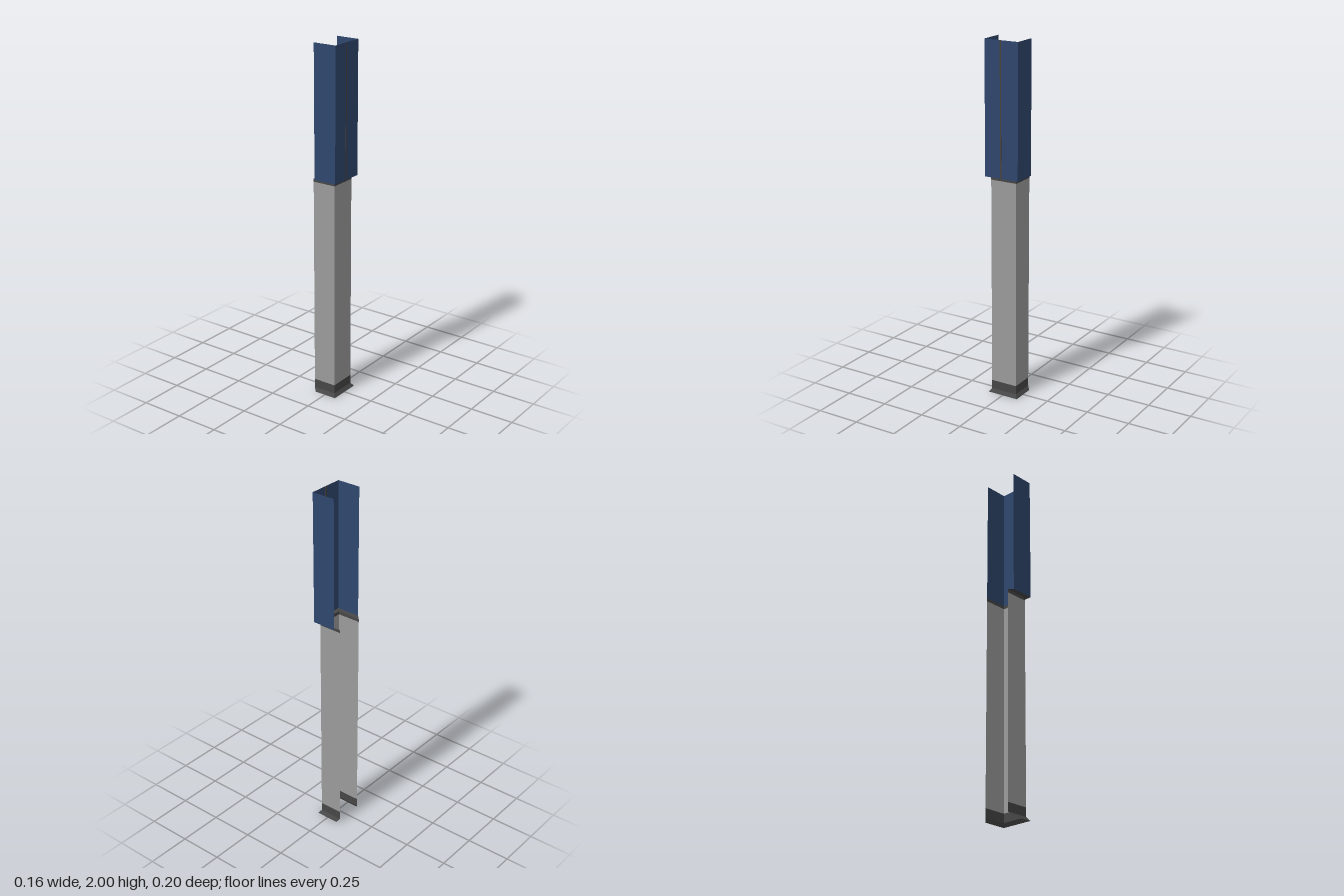
import * as THREE from 'three';

const makeMaterial = (name, color) => {
  const m = new THREE.MeshStandardMaterial({ color, side: THREE.DoubleSide });
  m.name = name;
  return m;
};

// Three-sided channel outline, open towards -x, pushed outward by d
const outline = (y, d) => [
  [-0.08 + d, y, 0.078 + d],
  [0.055 + d, y, 0.078 + d],
  [0.055 + d, y, -0.078 - d],
  [-0.08 + d, y, -0.078 - d],
];

// Thin sheet walls swept through a profile of [height, offset] pairs
function channel(name, profile, material) {
  const positions = [];
  for (let i = 0; i < profile.length - 1; i++) {
    const low = outline(...profile[i]);
    const high = outline(...profile[i + 1]);
    for (let k = 0; k < 3; k++) {
      for (const p of [low[k], low[k + 1], high[k + 1], low[k], high[k + 1], high[k]]) positions.push(...p);
    }
  }
  const geometry = new THREE.BufferGeometry();
  geometry.setAttribute('position', new THREE.Float32BufferAttribute(positions, 3));
  geometry.computeVertexNormals();
  const mesh = new THREE.Mesh(geometry, material);
  mesh.name = name;
  return mesh;
}

export function createModel() {
  const blue = makeMaterial('navy blue', 0x2f466e);
  const grey = makeMaterial('light grey', 0x9b9b9b);
  const dark = makeMaterial('dark grey', 0x464646);
  const brown = makeMaterial('seam brown', 0x4a423a);

  const model = new THREE.Group();
  model.name = 'channelColumn';

  // Flared foot, shaft, stepped collar and wider upper casing
  model.add(
    channel('flaredFoot', [[0, 0.015], [0.02, 0], [0.07, 0]], dark),
    channel('lowerShaft', [[0.07, 0], [1.245, 0]], grey),
    channel('collarLedge', [[1.245, 0], [1.263, 0], [1.265, 0.023]], dark),
    channel('upperCasing', [[1.265, 0.023], [2, 0.023]], blue),
  );

  // Narrow vertical seam on the closed side of the casing
  const seam = new THREE.Mesh(new THREE.BoxGeometry(0.001, 0.735, 0.008), brown);
  seam.name = 'casingSeam';
  seam.position.set(0.078, 1.6325, 0.004);
  model.add(seam);

  return model;
}
